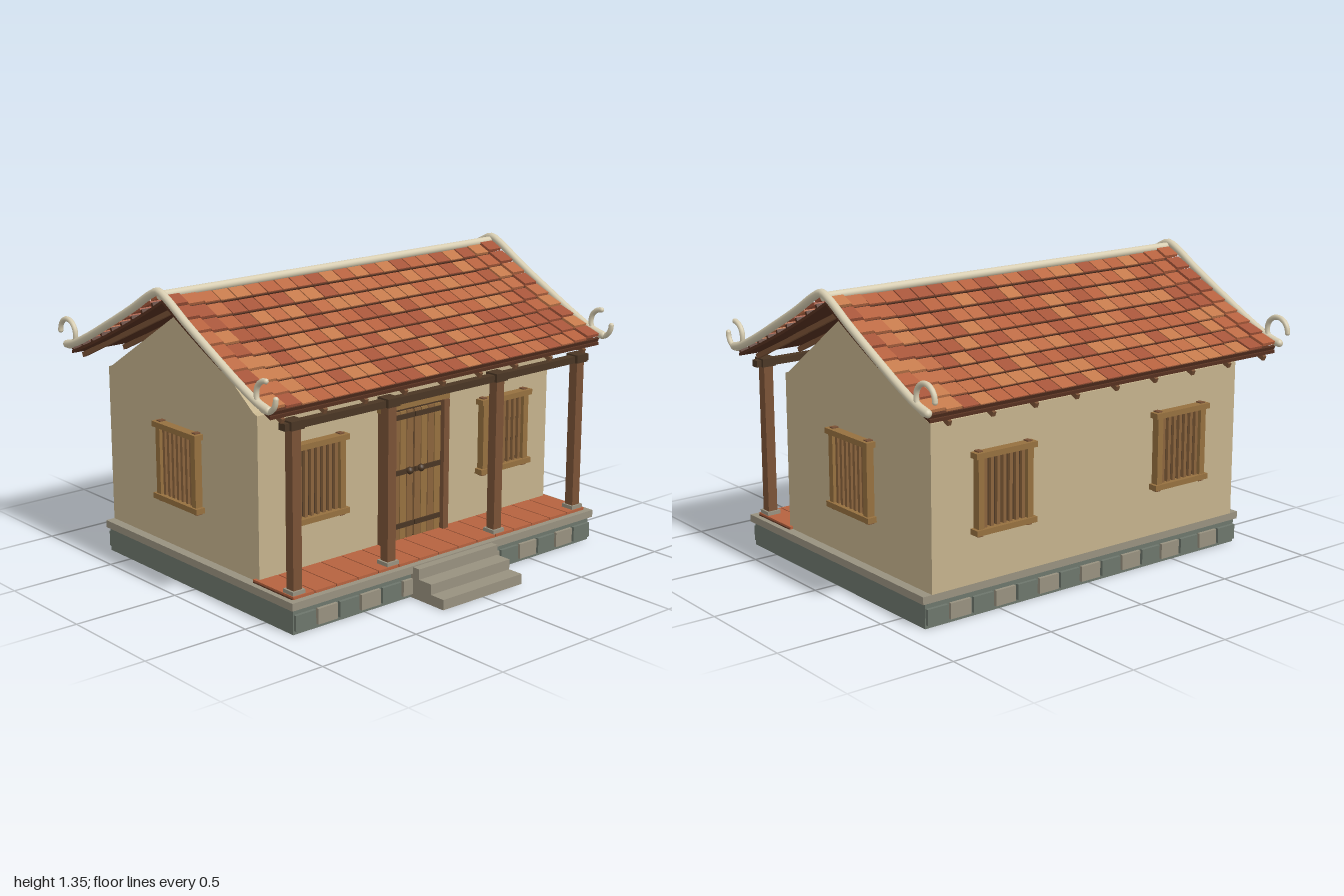
import * as THREE from 'three';

const mat = (color) => new THREE.MeshStandardMaterial({ color });
const M = {
  wall: mat(0xc4b28c), wood: mat(0x7a5236), dark: mat(0x4a3624), trim: mat(0x96703f),
  plank: mat(0x8a633c), stone: mat(0x98917f), base: mat(0x6d766c), cream: mat(0xd6ccb0),
  floor: mat(0xb5623f), under: mat(0x55301f),
};
const tileMats = [0xb5613f, 0xc47a4c, 0xa6553a, 0xbc6b45].map(mat);
const RIDGE_Z = -0.085, RUN = 0.725;

function add(parent, name, geo, material, x = 0, y = 0, z = 0) {
  const m = new THREE.Mesh(geo, material);
  m.name = name;
  m.position.set(x, y, z);
  parent.add(m);
  return m;
}
// Box given by its extents
function span(parent, name, material, x0, x1, y0, y1, z0, z1) {
  return add(parent, name, new THREE.BoxGeometry(x1 - x0, y1 - y0, z1 - z0), material,
    (x0 + x1) / 2, (y0 + y1) / 2, (z0 + z1) / 2);
}
// Extrude a (z, y) outline along x, centred on x = 0
function sideExtrude(points, width) {
  const shape = new THREE.Shape(points.map(([z, y]) => new THREE.Vector2(z, y)));
  return new THREE.ExtrudeGeometry(shape, { depth: width, bevelEnabled: false })
    .rotateY(-Math.PI / 2).translate(width / 2, 0, 0);
}
function group(parent, name) {
  const g = new THREE.Group();
  g.name = name;
  parent.add(g);
  return g;
}
function seeded(seed) {
  return () => (seed = (seed * 16807) % 2147483647) / 2147483647;
}
// Height of the sagging roof at distance d from the ridge
const roofY = (d) => {
  const t = d / RUN;
  return 1.297 - 0.352 * t - 0.06 * t * (1 - t);
};

// Barred window facing +z, back face at z = 0
function makeWindow(parent, name) {
  const w = group(parent, name);
  span(w, 'windowBacking', M.dark, -0.13, 0.13, 0.38, 0.7, 0, 0.008);
  for (const s of [-1, 1]) {
    add(w, 'windowJamb', new THREE.BoxGeometry(0.03, 0.34, 0.036), M.trim, s * 0.13, 0.54, 0.018);
    add(w, 'windowPeg', new THREE.BoxGeometry(0.025, 0.37, 0.03), M.wood, s * 0.13, 0.54, 0.015);
  }
  span(w, 'windowSill', M.trim, -0.16, 0.16, 0.365, 0.39, 0, 0.045);
  span(w, 'windowHead', M.trim, -0.16, 0.16, 0.695, 0.72, 0, 0.045);
  for (let i = 0; i < 7; i++)
    add(w, 'windowBar', new THREE.BoxGeometry(0.016, 0.31, 0.016), M.plank, -0.099 + i * 0.033, 0.54, 0.018);
  return w;
}

function buildBase(root) {
  const g = group(root, 'foundation');
  span(g, 'plinth', M.base, -0.89, 0.89, 0, 0.112, -0.66, 0.68);
  span(g, 'plinthCap', M.stone, -0.905, 0.905, 0.112, 0.146, -0.67, 0.695);
  // Stone facing blocks on front and back
  for (let i = 0; i < 15; i++)
    for (const z of [0.682, -0.662])
      add(g, 'facingBlock', new THREE.BoxGeometry(0.106, 0.07, 0.026), i % 2 ? M.stone : M.base,
        -0.833 + i * 0.119, 0.053, z);
  // Porch floor boards
  span(g, 'porchBed', M.under, -0.88, 0.88, 0.145, 0.15, 0.4, 0.66);
  for (let i = 0; i < 15; i++)
    add(g, 'porchBoard', new THREE.BoxGeometry(0.112, 0.012, 0.27), M.floor, -0.819 + i * 0.117, 0.152, 0.53);
  // Steps
  for (let i = 0; i < 3; i++)
    span(g, 'step', M.stone, -0.237, 0.237, i * 0.047, (i + 1) * 0.047, 0.68, 0.885 - i * 0.076);
}

function buildHouse(root) {
  const g = group(root, 'house');
  add(g, 'walls', sideExtrude([[-0.67, 0.146], [0.42, 0.146], [0.42, 0.872], [0.395, 0.88],
    [RIDGE_Z, 1.232], [-0.645, 0.88], [-0.67, 0.872]], 1.72), M.wall);
  for (const s of [-1, 1]) {
    makeWindow(g, 'frontWindow').position.set(s * 0.557, 0, 0.42);
    const back = makeWindow(g, 'backWindow');
    back.position.set(s * 0.5, 0, -0.67);
    back.rotation.y = Math.PI;
    const side = makeWindow(g, 'sideWindow');
    side.position.set(s * 0.86, -0.01, -0.118);
    side.rotation.y = s * Math.PI / 2;
  }
  // Double door
  const d = group(g, 'door');
  span(d, 'doorBacking', M.dark, -0.17, 0.17, 0.155, 0.765, 0.42, 0.426);
  span(d, 'doorLintel', M.trim, -0.205, 0.205, 0.765, 0.797, 0.42, 0.447);
  for (const s of [-1, 1]) {
    add(d, 'doorJamb', new THREE.BoxGeometry(0.032, 0.61, 0.035), M.wood, s * 0.182, 0.46, 0.437);
    for (let i = 0; i < 4; i++)
      add(d, 'doorPlank', new THREE.BoxGeometry(0.036, 0.59, 0.012), i % 2 ? M.trim : M.plank,
        s * (0.023 + i * 0.04), 0.455, 0.43);
    for (const y of [0.225, 0.473, 0.727])
      add(d, 'doorStrap', new THREE.BoxGeometry(0.155, 0.022, 0.008), M.dark, s * 0.081, y, 0.44);
    add(d, 'doorKnob', new THREE.SphereGeometry(0.017, 12, 8), M.dark, s * 0.034, 0.475, 0.447);
  }
  // Porch posts and beam
  for (const x of [-0.838, -0.32, 0.32, 0.838]) {
    add(g, 'postBase', new THREE.BoxGeometry(0.066, 0.018, 0.066), M.stone, x, 0.166, 0.625);
    add(g, 'post', new THREE.BoxGeometry(0.046, 0.7, 0.046), M.wood, x, 0.52, 0.625);
    add(g, 'postCapital', new THREE.BoxGeometry(0.068, 0.038, 0.068), M.dark, x, 0.882, 0.625);
  }
  span(g, 'porchBeam', M.dark, -0.895, 0.895, 0.863, 0.894, 0.605, 0.645);
}

function buildRoof(root) {
  const g = group(root, 'roof');
  const rand = seeded(77);
  // Sheathing under the tiles
  const top = [], bottom = [];
  for (let i = -8; i <= 8; i++) {
    const d = Math.abs(i) / 8 * RUN;
    top.push([RIDGE_Z + i / 8 * RUN, roofY(d) - 0.008]);
    bottom.unshift([RIDGE_Z + i / 8 * RUN, roofY(d) - 0.022]);
  }
  add(g, 'sheathing', sideExtrude([...bottom, ...top], 1.93), M.under);

  // Rafters
  const len = Math.hypot(RUN, 0.33), pitch = Math.atan2(0.33, RUN);
  const rafter = new THREE.BoxGeometry(0.018, 0.022, len);
  for (let i = 0; i < 9; i++)
    for (const s of [-1, 1])
      add(g, 'rafter', rafter, M.wood, -0.9 + i * 0.221, 1.072, RIDGE_Z + s * RUN / 2).rotation.x = s * pitch;

  // Overlapping rows of tiles on both slopes, lifting slightly at the ends
  const cols = 23, rows = 9, cw = 1.94 / cols, rl = RUN / rows;
  const tile = new THREE.BoxGeometry(cw - 0.006, 0.014, rl * 1.02);
  for (const s of [-1, 1])
    for (let r = 0; r < rows; r++) {
      const d = (r + 0.5) * rl;
      const slope = Math.atan2(roofY(d - rl / 2) - roofY(d + rl / 2), rl);
      const batten = add(g, 'batten', new THREE.BoxGeometry(1.93, 0.016, 0.013), M.under,
        0, roofY(d + rl / 2) + 0.005, RIDGE_Z + s * (d + rl / 2 - 0.006));
      batten.rotation.x = s * slope;
      for (let c = 0; c < cols; c++) {
        const x = (c - (cols - 1) / 2) * cw;
        const lift = 0.02 * Math.max(0, (Math.abs(x) - 0.65) / 0.3) ** 2;
        const t = add(g, 'tile', tile, tileMats[Math.floor(rand() * 4)], x, roofY(d) + 0.004 + lift, RIDGE_Z + s * d);
        t.rotation.x = s * (slope - 0.09);
      }
    }

  // Ridge cap
  add(g, 'ridgeCap', new THREE.CylinderGeometry(0.019, 0.019, 1.96, 16).rotateZ(Math.PI / 2), M.cream, 0, 1.311, RIDGE_Z);

  // Verge rolls over each gable, ending in curls
  const half = [[0.05, 1.31], [0.2, 1.222], [0.4, 1.115], [0.55, 1.038], [0.67, 0.985], [0.735, 0.968]];
  const path = [...half.map(([d, y]) => [-d, y]).reverse(), [0, 1.328], ...half];
  const curve = new THREE.CatmullRomCurve3(path.map(([d, y]) => new THREE.Vector3(0, y, RIDGE_Z + d)));
  const roll = new THREE.TubeGeometry(curve, 64, 0.018, 12);
  const curl = new THREE.TorusGeometry(0.062, 0.012, 10, 28, Math.PI * 1.5);
  const frontCurl = curl.clone().rotateZ(Math.PI / 2).rotateY(-Math.PI / 2);
  const backCurl = curl.clone().rotateZ(-Math.PI / 2).rotateY(-Math.PI / 2);
  const ball = new THREE.SphereGeometry(0.018, 12, 8), tip = new THREE.SphereGeometry(0.012, 10, 8);
  for (const s of [-1, 1]) {
    const x = s * 0.982;
    add(g, 'vergeRoll', roll, M.cream, x);
    add(g, 'frontCurl', frontCurl, M.cream, x, 1.023, 0.637);
    add(g, 'backCurl', backCurl, M.cream, x, 1.023, -0.807);
    for (const e of [-1, 1]) add(g, 'vergeRollEnd', ball, M.cream, x, 0.968, RIDGE_Z + e * 0.735);
    for (const [y, z] of [[1.085, 0.637], [1.023, 0.699], [1.023, -0.869]])
      add(g, 'curlTip', tip, M.cream, x, y, z);
  }
}

export function createModel() {
  const root = new THREE.Group();
  root.name = 'tileRoofedHouse';
  buildBase(root);
  buildHouse(root);
  buildRoof(root);
  return root;
}
